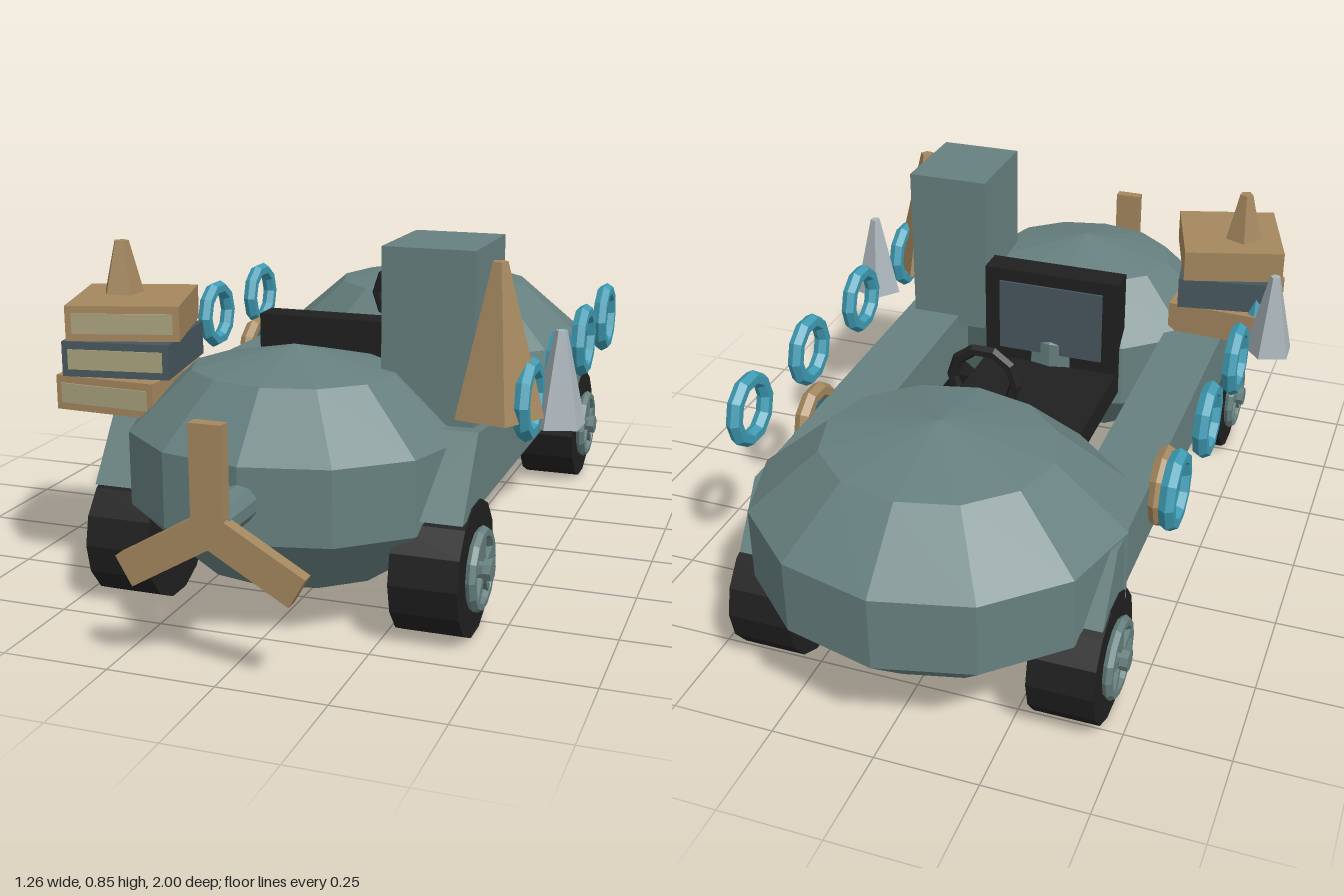
import * as THREE from 'three';

const mat = (name, color, side = THREE.FrontSide) => {
  const m = new THREE.MeshStandardMaterial({ color, flatShading: true, side });
  m.name = name;
  return m;
};

export function createModel() {
  const slate = mat('slate body', 0x66807f);
  const black = mat('black rubber', 0x202020);
  const wood = mat('brown wood', 0xa4875e);
  const teal = mat('teal ring', 0x3f9bb3);
  const grey = mat('pale grey', 0xa9b3b8);
  const dark = mat('dark slate', 0x47575f);
  const paper = mat('paper', 0xa8a07c);
  const glass = mat('dark teal glass', 0x3c6e7e);

  const root = new THREE.Group();
  root.name = 'propellerCar';
  const add = (name, geo, material, x = 0, y = 0, z = 0, parent = root) => {
    const m = new THREE.Mesh(geo, material);
    m.name = name;
    m.position.set(x, y, z);
    parent.add(m);
    return m;
  };
  const box = (w, h, d) => new THREE.BoxGeometry(w, h, d);
  const X0 = -0.007; // centre line of the car

  // Faceted pods at both ends
  const pod = (name, rx, ry, rz, y, z) =>
    add(name, new THREE.SphereGeometry(1, 12, 5).scale(rx, ry, rz), slate, X0, y, z);
  pod('frontPod', 0.412, 0.28, 0.347, 0.345, 0.52);
  pod('rearPod', 0.468, 0.29, 0.43, 0.35, -0.59);

  // Seat between the side beams, facing the steering wheel
  add('seatBase', box(0.375, 0.07, 0.42), black, X0, 0.33, 0.07);
  add('seatBack', box(0.375, 0.32, 0.075), black, X0, 0.475, 0.24);
  add('seatPanel', box(0.29, 0.2, 0.008), dark, X0, 0.5, 0.2);
  add('steeringWheel', new THREE.TorusGeometry(0.08, 0.015, 6, 10), black, X0, 0.59, -0.305);

  // Propeller and shaft
  add('propellerShaft', new THREE.CylinderGeometry(0.043, 0.043, 0.18, 10).rotateX(Math.PI / 2),
    slate, X0, 0.35, 0.89);
  const propeller = new THREE.Group();
  propeller.name = 'propeller';
  propeller.position.set(X0, 0.343, 0.984);
  root.add(propeller);
  for (let i = 0; i < 3; i++) {
    const blade = box(0.073, 0.222, 0.03).translate(0, 0.111, 0).rotateZ(i * Math.PI * 2 / 3);
    add('propellerBlade', blade, wood, 0, 0, 0, propeller);
  }

  // Side beam profile with slanted ends
  const beam = new THREE.Shape([[-0.76, 0.29], [0.67, 0.29], [0.55, 0.465], [0.4, 0.45], [-0.66, 0.435]]
    .map(([z, y]) => new THREE.Vector2(z, y)));

  // Wheel with a five-spoke rim; the outer face points along +x
  const makeWheel = () => {
    const g = new THREE.Group();
    g.name = 'wheel';
    const turn = (geo) => geo.rotateZ(Math.PI / 2);
    add('tyre', turn(new THREE.CylinderGeometry(0.156, 0.156, 0.156, 14)), black, 0, 0, 0, g);
    add('rim', new THREE.TorusGeometry(0.084, 0.014, 6, 14).rotateY(Math.PI / 2), slate, 0.088, 0, 0, g);
    add('hub', turn(new THREE.CylinderGeometry(0.026, 0.026, 0.045, 8)), slate, 0.094, 0, 0, g);
    for (let i = 0; i < 5; i++) {
      const spoke = box(0.022, 0.085, 0.018).translate(0, 0.0425, 0).rotateX(i * Math.PI * 2 / 5);
      add('spoke', spoke, slate, 0.087, 0, 0, g);
    }
    return g;
  };

  for (const s of [1, -1]) {
    const side = s > 0 ? 'left' : 'right';
    const geo = new THREE.ExtrudeGeometry(beam, { depth: 0.155, bevelEnabled: false })
      .rotateY(-Math.PI / 2).translate(0.0775, 0, 0);
    add(side + 'Beam', geo, slate, X0 + s * 0.363, 0, 0);

    for (const z of [0.563, -0.675]) {
      const wheel = makeWheel();
      wheel.position.set(X0 + s * 0.366, 0.156, z);
      if (s < 0) wheel.rotation.y = Math.PI;
      root.add(wheel);
    }

    // Floating teal rings
    for (const z of [0.44, 0.12, -0.195, -0.51]) {
      add(side + 'Ring', new THREE.TorusGeometry(0.076, 0.02, 6, 10).rotateY(Math.PI / 2),
        teal, X0 + s * 0.526, 0.52, z);
    }

    // Round porthole
    add(side + 'PortholeFrame', new THREE.TorusGeometry(0.08, 0.021, 6, 10).rotateY(Math.PI / 2),
      wood, X0 + s * 0.455, 0.392, -0.315);
    add(side + 'PortholeGlass', new THREE.CylinderGeometry(0.075, 0.075, 0.008, 10).rotateZ(Math.PI / 2),
      glass, X0 + s * 0.455, 0.392, -0.315);

    // Blunt spikes
    add(side + 'WoodSpike', new THREE.CylinderGeometry(0.018, 0.105, 0.345, 5),
      wood, X0 + s * 0.46, 0.657, 0.465).rotation.y = s * 0.4;
    add(side + 'GreySpike', new THREE.CylinderGeometry(0.014, 0.065, 0.22, 5),
      grey, X0 + s * 0.575, 0.55, 0.343).rotation.y = s * 0.9;
  }

  // Tall crate
  add('tallCrate', box(0.215, 0.435, 0.26), slate, 0.302, 0.6375, 0.373);

  // Stack of books with page edges on the front
  const books = [
    [wood, -0.432, 0.49, 0.255, -0.05],
    [dark, -0.43, 0.577, 0.255, 0.16],
    [wood, -0.428, 0.664, 0.262, 0.29],
  ];
  for (const [cover, x, y, w, turn] of books) {
    const book = new THREE.Group();
    book.name = 'book';
    book.position.set(x, y, 0.487);
    book.rotation.y = turn;
    root.add(book);
    add('cover', box(w, 0.082, 0.28), cover, 0, 0, 0, book);
    add('pages', box(w - 0.03, 0.047, 0.006), paper, 0, 0, 0.141, book);
  }

  return root;
}
